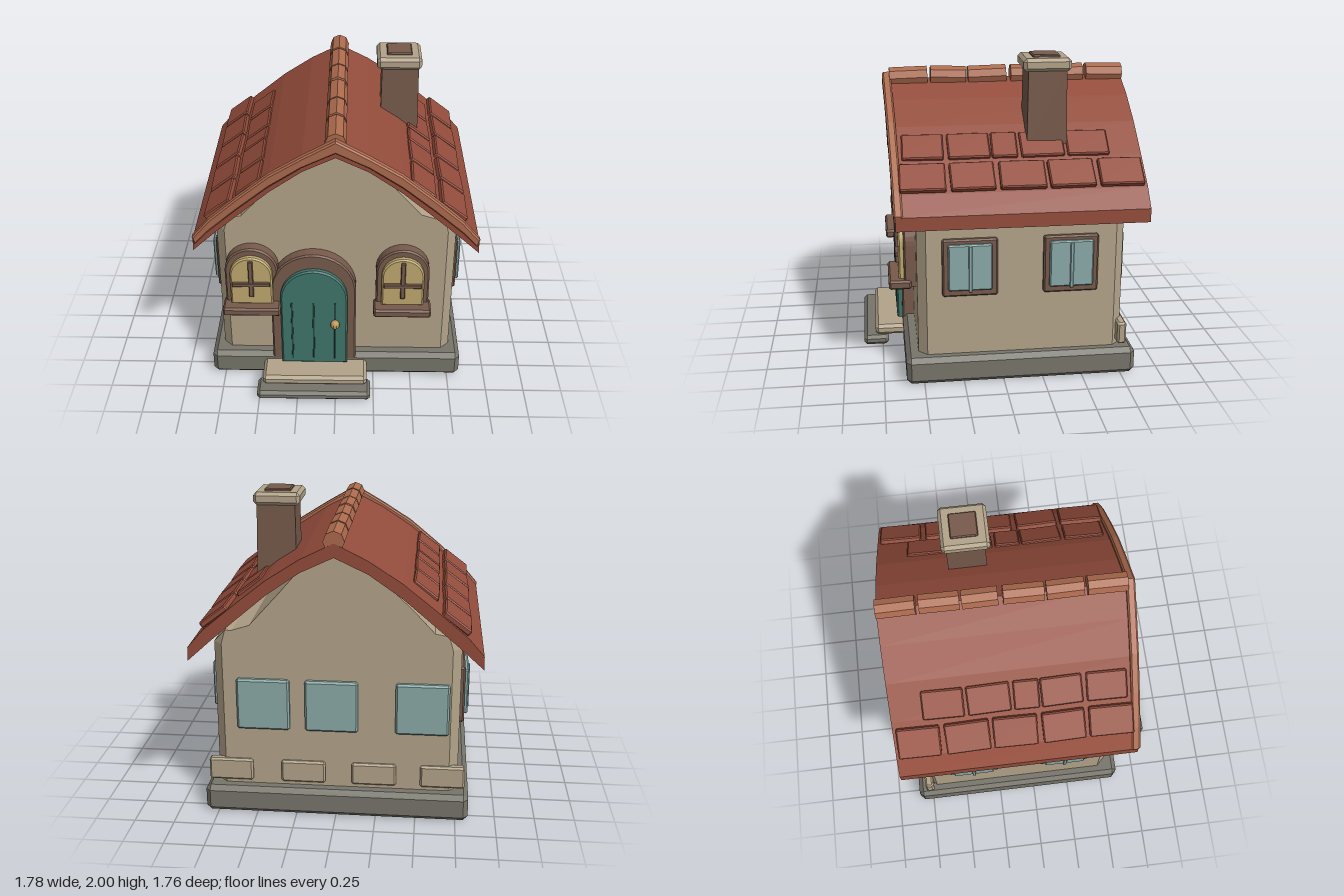
import * as THREE from 'three';
import { ConvexGeometry } from 'three/addons/geometries/ConvexGeometry.js';

const mat = (name, color) => Object.assign(new THREE.MeshStandardMaterial({ color, flatShading: true }), { name });
const M = {
  plaster: mat('plaster', 0xb3a48a),
  stone: mat('stone', 0x77756a),
  roof: mat('roofRed', 0x934c3b),
  trim: mat('terracotta', 0xad6b4e),
  wood: mat('wood', 0x775a4b),
  door: mat('doorGreen', 0x40756a),
  groove: mat('grooveGreen', 0x24463f),
  glass: mat('glass', 0x8aaaa8),
  lit: mat('litGlass', 0xbfa970),
  brass: mat('brass', 0xb8975c),
};

export function createModel() {
  const house = new THREE.Group();
  house.name = 'cottage';

  const add = (name, geo, material, parent = house) => {
    const mesh = new THREE.Mesh(geo, material);
    mesh.name = name;
    parent.add(mesh);
    return mesh;
  };

  // Box with chamfered edges, given by its min/max on each axis
  const block = (name, material, x0, x1, y0, y1, z0, z1, c = 0.01, parent = house) => {
    const h = [(x1 - x0) / 2, (y1 - y0) / 2, (z1 - z0) / 2];
    const pts = [];
    for (const sx of [-1, 1]) for (const sy of [-1, 1]) for (const sz of [-1, 1])
      for (let a = 0; a < 3; a++) {
        const d = h.map((v, i) => (i === a ? v : v - c));
        pts.push(new THREE.Vector3(sx * d[0], sy * d[1], sz * d[2]));
      }
    const mesh = add(name, new ConvexGeometry(pts), material, parent);
    mesh.position.set((x0 + x1) / 2, (y0 + y1) / 2, (z0 + z1) / 2);
    return mesh;
  };

  // Outline in x/y extruded from z0 to z1
  const extrude = (shape, z0, z1, bevel = 0) => {
    const geo = new THREE.ExtrudeGeometry(shape, {
      depth: z1 - z0 - bevel, bevelEnabled: bevel > 0, bevelThickness: bevel,
      bevelSize: bevel, bevelOffset: -bevel, bevelSegments: 1, curveSegments: 9,
    });
    return geo.translate(0, 0, z0);
  };
  const polygon = (pts) => new THREE.Shape(pts.map(([x, y]) => new THREE.Vector2(x, y)));

  // Round-topped slab
  const arch = (name, material, x0, x1, y0, y1, z0, z1, parent = house) => {
    const r = (x1 - x0) / 2;
    const s = new THREE.Shape();
    s.moveTo(x0, y0).lineTo(x1, y0).lineTo(x1, y1 - r);
    s.absarc((x0 + x1) / 2, y1 - r, r, 0, Math.PI, false);
    s.lineTo(x0, y0);
    return add(name, extrude(s, z0, z1, 0.01), material, parent);
  };

  // Plinth and steps
  block('plinth', M.stone, -0.83, 0.83, 0, 0.175, -0.84, 0.61, 0.03);
  block('lowerStep', M.stone, -0.515, 0.23, 0, 0.065, 0.71, 0.875, 0.02);
  block('upperStep', M.plaster, -0.48, 0.205, 0.06, 0.13, 0.58, 0.797, 0.02);

  // Walls with chamfered corners and drawn-in top
  const wallPts = [];
  for (const [y, w] of [[0.16, 0.76], [1.11, 0.76], [1.2, 0.68]])
    for (const s of [-1, 1]) {
      for (const z of [0.53, -0.76]) wallPts.push(new THREE.Vector3(s * (w === 0.76 ? 0.705 : w), y, z));
      if (w === 0.76) for (const z of [0.475, -0.705]) wallPts.push(new THREE.Vector3(s * w, y, z));
    }
  add('walls', new ConvexGeometry(wallPts), M.plaster);
  add('gable', extrude(polygon([
    [-0.68, 1.15], [0.68, 1.15], [0.67, 1.19], [0.53, 1.235], [0.355, 1.43], [0.2, 1.61], [0.1, 1.67], [0, 1.71],
    [-0.15, 1.63], [-0.3, 1.51], [-0.46, 1.36], [-0.595, 1.215], [-0.68, 1.2],
  ]), -0.76, 0.53), M.plaster);

  // Roof shell: outer slope, then back along the underside
  const mirrored = (outer, inner) => polygon([
    ...outer.map(([x, y]) => [-x, y]).reverse(), ...outer.slice(1),
    ...[...inner].reverse(), ...inner.slice(1).map(([x, y]) => [-x, y]),
  ]);
  const slope = [[0, 1.785], [0.2, 1.685], [0.4, 1.555], [0.6, 1.395], [0.79, 1.235], [0.885, 1.125], [0.887, 1.04]];
  const under = [[0, 1.7], [0.2, 1.605], [0.4, 1.465], [0.6, 1.295], [0.75, 1.165]];
  add('roof', extrude(mirrored(slope, under), -0.88, 0.655), M.roof);

  // Front barge board, bowed forward at the ridge
  const boardTop = [[0, 1.83], [0.2, 1.715], [0.4, 1.59], [0.6, 1.425], [0.78, 1.265], [0.89, 1.135]];
  const boardLow = [[0, 1.745], [0.2, 1.645], [0.4, 1.51], [0.6, 1.345], [0.78, 1.185], [0.875, 1.085]];
  const board = extrude(mirrored(boardTop, boardLow), 0.62, 0.665, 0.01);
  const p = board.attributes.position;
  for (let i = 0; i < p.count; i++) p.setZ(i, p.getZ(i) + 0.032 * (1 - Math.abs(p.getX(i)) / 0.89));
  add('bargeBoard', board, M.trim);

  // Ridge caps
  [[-0.88, -0.64], [-0.62, -0.375], [-0.36, -0.14], [-0.11, 0.14], [0.155, 0.385], [0.405, 0.65]].forEach(([a, b], i) => {
    const cap = add('ridgeCap', new THREE.CylinderGeometry(0.064, 0.064, b - a, 8).rotateX(Math.PI / 2), M.trim);
    cap.position.set(0, 1.797, (a + b) / 2);
    cap.rotation.x = (i % 2 ? 1 : -1) * 0.025;
  });

  // Roof tiles: a proud lower row and a nearly flush upper row on both slopes
  const lower = [[-0.86, -0.59], [-0.56, -0.28], [-0.26, 0.02], [0.05, 0.32], [0.345, 0.625]];
  const upper = [[-0.68, -0.42], [-0.4, -0.13], [-0.11, 0.05], [0.06, 0.32], [0.345, 0.6]];
  const tiles = (spans, x, y, len, lift) => {
    for (const side of [-1, 1]) spans.forEach(([a, b], i) => {
      const tile = block('roofTile', M.roof, -len / 2, len / 2, -0.02, 0.02, a, b, 0.008);
      const tilt = 0.69;
      tile.position.x = side * (x + lift * Math.sin(tilt));
      tile.position.y = y + lift * Math.cos(tilt);
      tile.rotation.set(0, (i % 2 ? 1 : -1) * 0.02, -side * (tilt - 0.04));
    });
  };
  tiles(lower, 0.71, 1.302, 0.2, 0.018);
  tiles(upper, 0.53, 1.451, 0.19, 0.0);

  // Chimney
  const stack = add('chimneyStack', new THREE.CylinderGeometry(0.168, 0.177, 0.5, 4).rotateY(Math.PI / 4), M.wood);
  stack.position.set(0.405, 1.68, -0.3);
  block('chimneyCap', M.plaster, 0.253, 0.543, 1.905, 1.985, -0.447, -0.15, 0.02);
  block('chimneyFlue', M.wood, 0.317, 0.48, 1.95, 2, -0.385, -0.215, 0.006);

  // Front door
  arch('doorFrame', M.wood, -0.42, 0.13, 0.13, 0.975, 0.52, 0.61);
  arch('door', M.door, -0.358, 0.075, 0.13, 0.875, 0.55, 0.645);
  for (const x of [-0.285, -0.145, -0.005])
    block('doorGroove', M.groove, x - 0.006, x + 0.006, 0.17, 0.625, 0.64, 0.649, 0.001);
  const knob = add('doorKnob', new THREE.SphereGeometry(0.031, 10, 8), M.brass);
  knob.position.set(-0.005, 0.467, 0.662);

  // Arched front windows
  for (const x of [-0.54, 0.427]) {
    const win = new THREE.Group();
    win.name = 'frontWindow';
    win.position.x = x;
    house.add(win);
    arch('frame', M.wood, -0.17, 0.17, 0.57, 1.013, 0.52, 0.605, win);
    arch('pane', M.lit, -0.135, 0.135, 0.61, 0.967, 0.56, 0.638, win);
    block('mullion', M.wood, -0.015, 0.015, 0.675, 0.945, 0.62, 0.655, 0.004, win);
    block('crossbar', M.wood, -0.122, 0.122, 0.758, 0.785, 0.62, 0.658, 0.004, win);
    block('sill', M.wood, -0.185, 0.185, 0.557, 0.615, 0.56, 0.702, 0.012, win);
  }

  // Side windows
  for (const s of [-1, 1]) for (const z of [0.208, -0.418]) {
    const win = new THREE.Group();
    win.name = 'sideWindow';
    win.position.set(s * 0.76, 0, z);
    win.rotation.y = s * Math.PI / 2;
    house.add(win);
    block('frame', M.wood, -0.171, 0.171, 0.57, 0.94, -0.02, 0.03, 0.01, win);
    block('pane', M.glass, -0.136, 0.136, 0.615, 0.912, 0, 0.052, 0.008, win);
    block('mullion', M.glass, -0.011, 0.011, 0.608, 0.905, 0.02, 0.062, 0.004, win);
  }

  // Back windows and footing stones
  for (const x of [0.455, 0.03, -0.53])
    block('backWindow', M.glass, x - 0.165, x + 0.165, 0.56, 0.892, -0.79, -0.74, 0.012);
  for (const x of [0.67, 0.21, -0.235, -0.665])
    block('footingStone', M.plaster, x - 0.14, x + 0.14, 0.2, 0.345, -0.782, -0.725, 0.012);

  return house;
}
